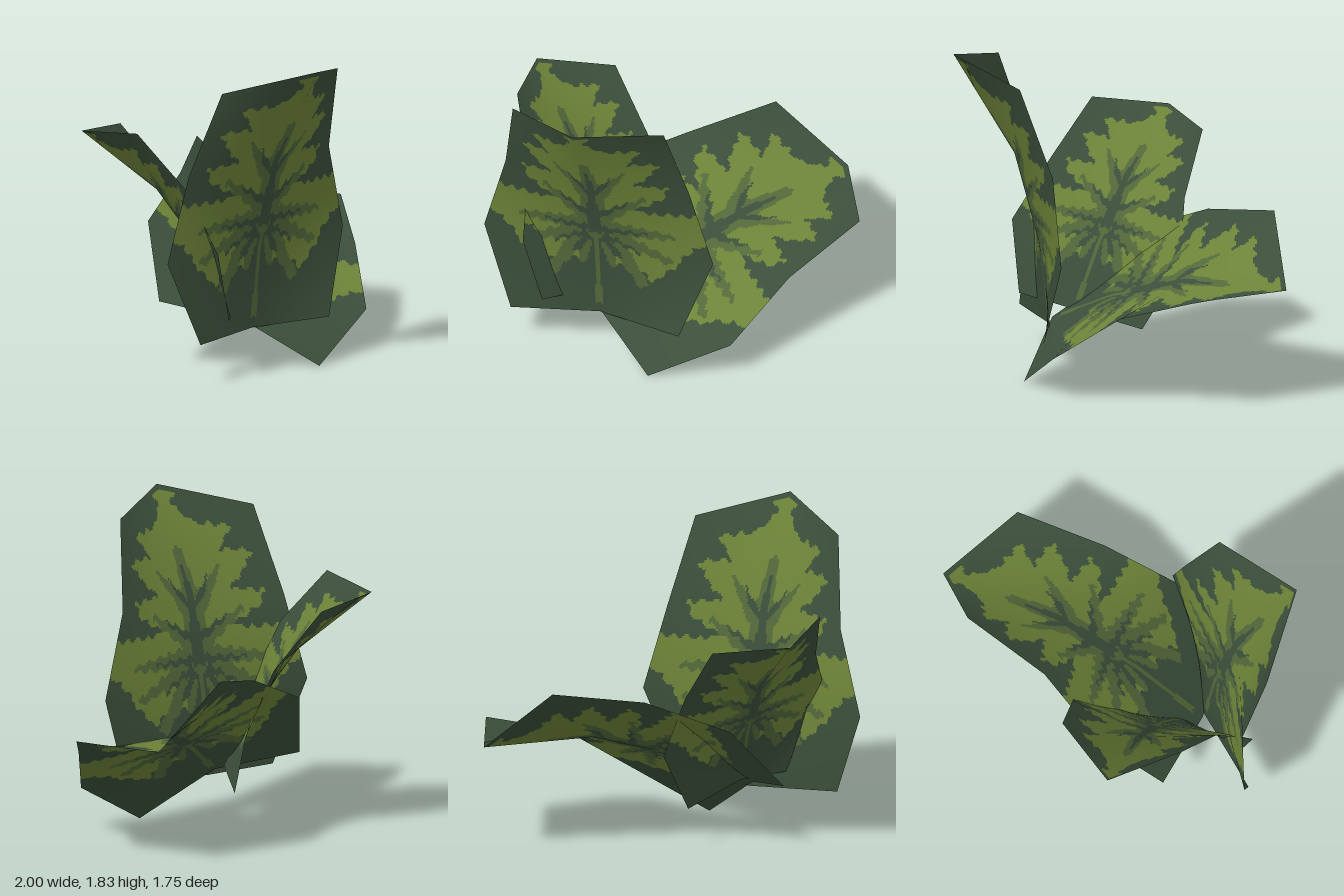
import * as THREE from 'three';

const colour = (name, color) => {
  const m = new THREE.MeshStandardMaterial({ color, side: THREE.DoubleSide });
  m.name = name;
  return m;
};
const materials = [
  colour('darkGreen', 0x3b4f3b),
  colour('midOlive', 0x53683a),
  colour('limeGreen', 0x6d8338),
];

// Leaf cross-sections from base to tip: half width, edge y, edge z, midrib y, midrib z
const ROWS = [
  [0.495, 0.235, 0.43, 0.235, 0.324],
  [0.675, 0.72, 0.35, 0.71, 0.385],
  [0.54, 1.21, 0.38, 1.235, 0.525],
  [0.445, 1.71, 0.555, 1.82, 0.872],
];
const BASE = new THREE.Vector3(0, 0.235, 0.324);

// Half outline of the pale marking, mirrored about the midrib
const MARKING = [
  [-0.01, 1.81], [0.03, 1.78], [0.075, 1.76], [0.03, 1.71], [0.08, 1.67], [0.13, 1.61],
  [0.31, 1.6], [0.28, 1.53], [0.23, 1.47], [0.4, 1.46], [0.36, 1.38], [0.28, 1.3],
  [0.23, 1.26], [0.43, 1.24], [0.4, 1.16], [0.32, 1.11], [0.23, 1.07], [0.3, 1.04],
  [0.63, 1.04], [0.65, 0.86], [0.55, 0.79], [0.47, 0.68], [0.4, 0.62], [0.33, 0.54],
  [0.25, 0.6], [0.2, 0.7], [0.15, 0.62], [0.08, 0.6], [0.04, 0.8], [-0.01, 0.8],
];

// Veins: x1, y1, half width 1, x2, y2, half width 2, material (later ones lie on top)
const VEINS = [
  [0, 0.8, 0.1, 0, 1.5, 0.025, 1],
  [0.04, 1.15, 0.035, 0.2, 1.38, 0.012, 1],
  [0.05, 0.98, 0.05, 0.3, 1.15, 0.015, 1],
  [0.05, 0.9, 0.06, 0.46, 0.87, 0.015, 1],
  [0.08, 0.86, 0.05, 0.44, 0.68, 0.02, 1],
  [0.08, 0.82, 0.05, 0.28, 0.49, 0.03, 1],
  [0.06, 0.8, 0.04, 0.09, 0.6, 0.025, 1],
  [0, 0.85, 0.045, 0, 1.4, 0.012, 0],
  [0.03, 1.18, 0.02, 0.13, 1.33, 0.006, 0],
  [0.03, 1.0, 0.025, 0.2, 1.11, 0.008, 0],
  [0.03, 0.88, 0.025, 0.3, 0.88, 0.006, 0],
  [0.05, 0.84, 0.02, 0.25, 0.72, 0.008, 0],
  [0.04, 0.82, 0.03, 0.14, 0.66, 0.012, 0],
  [0, 0.31, 0.02, 0, 0.86, 0.012, 1],
];

function inside(poly, x, y) {
  let hit = false;
  for (let i = 0, j = poly.length - 1; i < poly.length; j = i++) {
    const [ax, ay] = poly[i], [bx, by] = poly[j];
    if ((ay > y) !== (by > y) && x < ((bx - ax) * (y - ay)) / (by - ay) + ax) hit = !hit;
  }
  return hit;
}

// Which material covers a point of the leaf
function paint(px, py) {
  const x = Math.abs(px) + 0.01 * Math.sin(py * 95);
  const y = py + 0.012 * Math.sin(Math.abs(px) * 85);
  let c = inside(MARKING, x, y) ? 2 : 0;
  for (const [x1, y1, r1, x2, y2, r2, m] of VEINS) {
    const dx = x2 - x1, dy = y2 - y1;
    const t = ((Math.abs(px) - x1) * dx + (y - y1) * dy) / (dx * dx + dy * dy);
    if (t < 0 || t > 1) continue;
    const d = Math.hypot(Math.abs(px) - x1 - t * dx, y - y1 - t * dy);
    if (d < r1 + (r2 - r1) * t) c = m;
  }
  return c;
}

function leafGeometry() {
  // Coarse bent sheet, three points per row
  const pts = ROWS.flatMap(([w, ey, ez, my, mz]) => [-w, ey, ez, 0, my, mz, w, ey, ez]);
  const coarseIndex = [];
  for (let r = 0; r < 3; r++) for (let c = 0; c < 2; c++) {
    const a = r * 3 + c;
    coarseIndex.push(a, a + 1, a + 4, a, a + 4, a + 3);
  }
  const coarse = new THREE.BufferGeometry();
  coarse.setAttribute('position', new THREE.Float32BufferAttribute(pts, 3));
  coarse.setIndex(coarseIndex);
  coarse.computeVertexNormals();

  const sample = (attr, u, v) => {
    const c = Math.min(1, Math.floor(u)), r = Math.min(2, Math.floor(v));
    const get = (i) => new THREE.Vector3().fromBufferAttribute(attr, i);
    const a = r * 3 + c;
    const low = get(a).lerp(get(a + 1), u - c);
    return low.lerp(get(a + 3).lerp(get(a + 4), u - c), v - r);
  };

  // Fine grid over the sheet, with its cells sorted by colour
  const NU = 96, NV = 120, position = [], normal = [], cells = [[], [], []];
  const at = (attr, i, j) => sample(attr, (2 * i) / NU, (3 * j) / NV);
  for (let j = 0; j <= NV; j++) for (let i = 0; i <= NU; i++) {
    position.push(...at(coarse.attributes.position, i, j).sub(BASE).toArray());
    normal.push(...at(coarse.attributes.normal, i, j).normalize().toArray());
    if (i === NU || j === NV) continue;
    const mid = at(coarse.attributes.position, i + 0.5, j + 0.5);
    const a = j * (NU + 1) + i, b = a + NU + 1;
    cells[paint(mid.x, mid.y)].push(a, a + 1, b + 1, a, b + 1, b);
  }
  const g = new THREE.BufferGeometry();
  g.setAttribute('position', new THREE.Float32BufferAttribute(position, 3));
  g.setAttribute('normal', new THREE.Float32BufferAttribute(normal, 3));
  g.setIndex(cells.flat());
  let start = 0;
  cells.forEach((list, m) => {
    g.addGroup(start, list.length, m);
    start += list.length;
  });
  return g;
}

// Each leaf: name, base position, growth direction, underside direction, scale
const LEAVES = [
  ['uprightLeaf', [-0.325, 0.235, 0.324], [0, 1, 0], [0, 0, 1], 1],
  ['spreadingLeaf', [-0.352, 0.268, 0.307], [0.688, 0.511, -0.526], [0.07, -0.757, -0.63], 1],
  ['smallLeaf', [-0.334, 0.312, 0.18], [-0.193, 0.93, -0.316], [-0.776, -0.376, -0.473], 0.8],
];

export function createModel() {
  const group = new THREE.Group();
  group.name = 'leafCluster';
  const geometry = leafGeometry();
  for (const [name, base, grow, under, scale] of LEAVES) {
    const mesh = new THREE.Mesh(geometry, materials);
    mesh.name = name;
    const v = new THREE.Vector3(...grow).normalize();
    const u = v.clone().cross(new THREE.Vector3(...under)).normalize();
    const w = u.clone().cross(v);
    mesh.quaternion.setFromRotationMatrix(new THREE.Matrix4().makeBasis(u, v, w));
    mesh.position.set(...base);
    mesh.scale.setScalar(scale);
    group.add(mesh);
  }
  return group;
}
